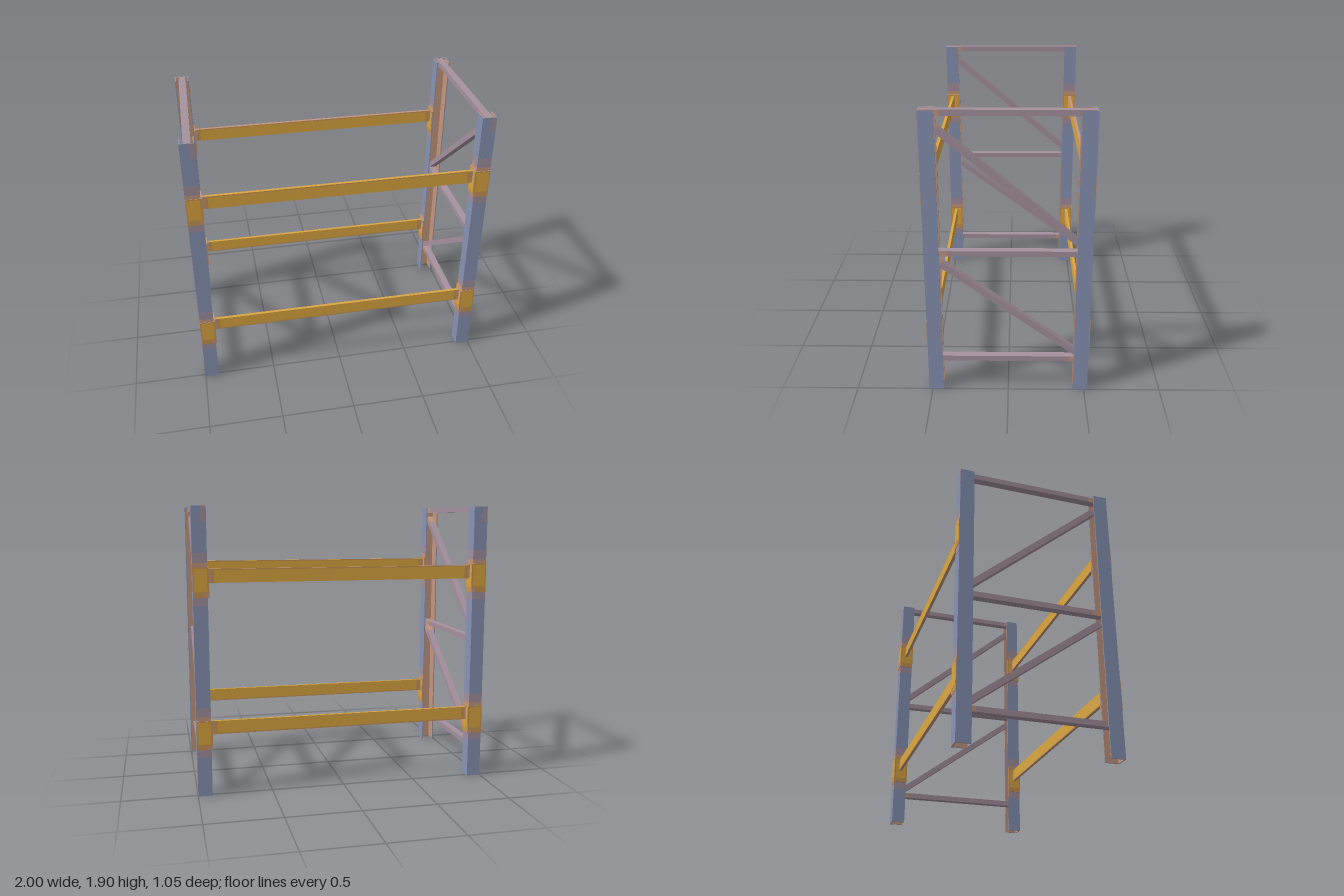
import * as THREE from 'three';

const mat = (name, color) => {
  const m = new THREE.MeshStandardMaterial({ color });
  m.name = name;
  return m;
};

export function createModel() {
  const blue = mat('postBlue', 0x8893b4);
  const rust = mat('innerRust', 0xc4977f);
  const mauve = mat('braceMauve', 0xa5919e);
  const stain = mat('stainMauve', 0xa18f9f);
  const orange = mat('beamOrange', 0xdca641);
  const amber = mat('bracketRust', 0xc79450);

  const rack = new THREE.Group();
  rack.name = 'storageRack';

  // Box given by its two extreme corners, in any order
  function box(parent, name, material, a, b) {
    const size = a.map((v, i) => Math.abs(b[i] - v));
    const mesh = new THREE.Mesh(new THREE.BoxGeometry(...size), material);
    mesh.position.set(...a.map((v, i) => (v + b[i]) / 2));
    mesh.name = name;
    parent.add(mesh);
    return mesh;
  }

  // Upright U-channel, web at +z (front), open towards -z
  function channel(name, material, halfWidth, back, front, t, height) {
    const w = halfWidth, i = w - t;
    const points = [[-w, back], [-i, back], [-i, front - t], [i, front - t],
      [i, back], [w, back], [w, front], [-w, front]];
    const shape = new THREE.Shape(points.map(([x, z]) => new THREE.Vector2(x, -z)));
    const geo = new THREE.ExtrudeGeometry(shape, { depth: height, bevelEnabled: false });
    geo.rotateX(-Math.PI / 2);
    const mesh = new THREE.Mesh(geo, material);
    mesh.name = name;
    return mesh;
  }

  // Four posts: painted outside, rusty lining inside, stains around the joints
  const stains = [[0.265, 0.317, stain], [0.512, 0.54, rust], [0.54, 0.6, stain],
    [1.27, 1.322, stain], [1.517, 1.545, rust], [1.545, 1.61, stain]];
  for (const sx of [-1, 1]) {
    for (const sz of [-1, 1]) {
      const post = new THREE.Group();
      post.name = 'post';
      post.add(channel('postShell', blue, 0.0475, -0.0475, 0.0475, 0.005, 1.905));
      post.add(channel('postLining', rust, 0.0425, -0.0473, 0.0425, 0.003, 1.904));
      const inner = -sx * sz;
      for (const [y0, y1, m] of stains) {
        box(post, 'jointStain', m, [-0.047, y0, 0.047], [0.047, y1, 0.0482]);
        box(post, 'sideStain', m, [inner * 0.047, y0, -0.046], [inner * 0.0482, y1, 0.047]);
      }
      box(post, 'topStain', stain, [0.012, 1.8, 0.047], [0.047, 1.904, 0.0482]);
      post.position.set(sx * 0.9525, 0, sz * 0.475);
      if (sz < 0) post.rotation.y = Math.PI;
      rack.add(post);
    }
  }

  // Side frames: three level rungs and two diagonals, each rusty at one end
  const rungs = [[0.203, -0.513, -0.395], [0.965, 0.513, 0.375], [1.867, 0.513, 0.4]];
  const diagonals = [[1.824, 1.026], [0.945, 0.245]];
  for (const sx of [-1, 1]) {
    const frame = new THREE.Group();
    frame.name = 'sideBracing';
    for (const [y, zEnd, zJoin] of rungs) {
      box(frame, 'rung', mauve, [sx * 0.926, y, -zEnd], [sx * 0.975, y + 0.037, zJoin]);
      box(frame, 'rungEnd', [rust, rust, mauve, mauve, rust, rust],
        [sx * 0.926, y, zJoin], [sx * 0.975, y + 0.037, zEnd]);
    }
    for (const [yFront, yBack] of diagonals) {
      const run = 0.94, rise = yFront - yBack;
      const half = Math.hypot(run, rise) / 2, join = half - 0.06;
      const brace = new THREE.Group();
      brace.name = 'diagonalBrace';
      box(brace, 'braceBar', mauve, [-0.0235, -0.02, -half], [0.0235, 0.02, join]);
      box(brace, 'braceEnd', rust, [-0.0235, -0.02, join], [0.0235, 0.02, half]);
      brace.position.set(sx * 0.95, (yFront + yBack) / 2, 0);
      brace.rotation.x = -Math.atan2(rise, run);
      frame.add(brace);
    }
    rack.add(frame);
  }

  // Load beams with L-shaped end brackets hooked round the posts
  for (const [level, y] of [[0, 0.41], [1, 1.415]]) {
    for (const sz of [-1, 1]) {
      const unit = new THREE.Group();
      unit.name = 'loadBeam';
      const top = level === 1 && sz < 0 ? rust : orange;
      const beamMats = (side) => [side, side, top, rust, side, side];
      // Faded strip along the upper edge of high beams, the lower edge of low ones
      const split = y + (level === 1 ? 0.082 : 0.008);
      const [lower, upper] = level === 1 ? [orange, amber] : [amber, orange];
      box(unit, 'beamLower', beamMats(lower), [-0.86, y, sz * 0.467], [0.86, split, sz * 0.488]);
      box(unit, 'beamUpper', beamMats(upper), [-0.86, split, sz * 0.467], [0.86, y + 0.09, sz * 0.488]);
      for (const sx of [-1, 1]) {
        // Worn beam end in two steps
        box(unit, 'beamFade', beamMats(amber), [sx * 0.86, y, sz * 0.467], [sx * 0.881, y + 0.09, sz * 0.488]);
        box(unit, 'beamEnd', rust, [sx * 0.881, y, sz * 0.467], [sx * 0.898, y + 0.09, sz * 0.488]);
        // Bracket with bare cut edges and a rusty border
        const y0 = y - 0.093, y1 = y + 0.102;
        box(unit, 'bracketFace', [rust, rust, rust, rust, amber, amber],
          [sx * 0.896, y0, sz * 0.5225], [sx * 1.0, y1, sz * 0.5265]);
        box(unit, 'bracketSide', [amber, amber, rust, rust, rust, rust],
          [sx * 0.897, y0, sz * 0.426], [sx * 0.905, y1, sz * 0.5225]);
        // Paint left in the middle of each plate, bare inner lower corner
        box(unit, 'facePaint', orange, [sx * 0.908, y - 0.055, sz * 0.526], [sx * 0.992, y1 - 0.01, sz * 0.527]);
        box(unit, 'faceCorner', rust, [sx * 0.897, y0, sz * 0.526], [sx * 0.925, y - 0.065, sz * 0.527]);
        box(unit, 'sidePaint', orange, [sx * 0.896, y - 0.06, sz * 0.435], [sx * 0.898, y1 - 0.01, sz * 0.515]);
      }
      rack.add(unit);
    }
  }

  return rack;
}
